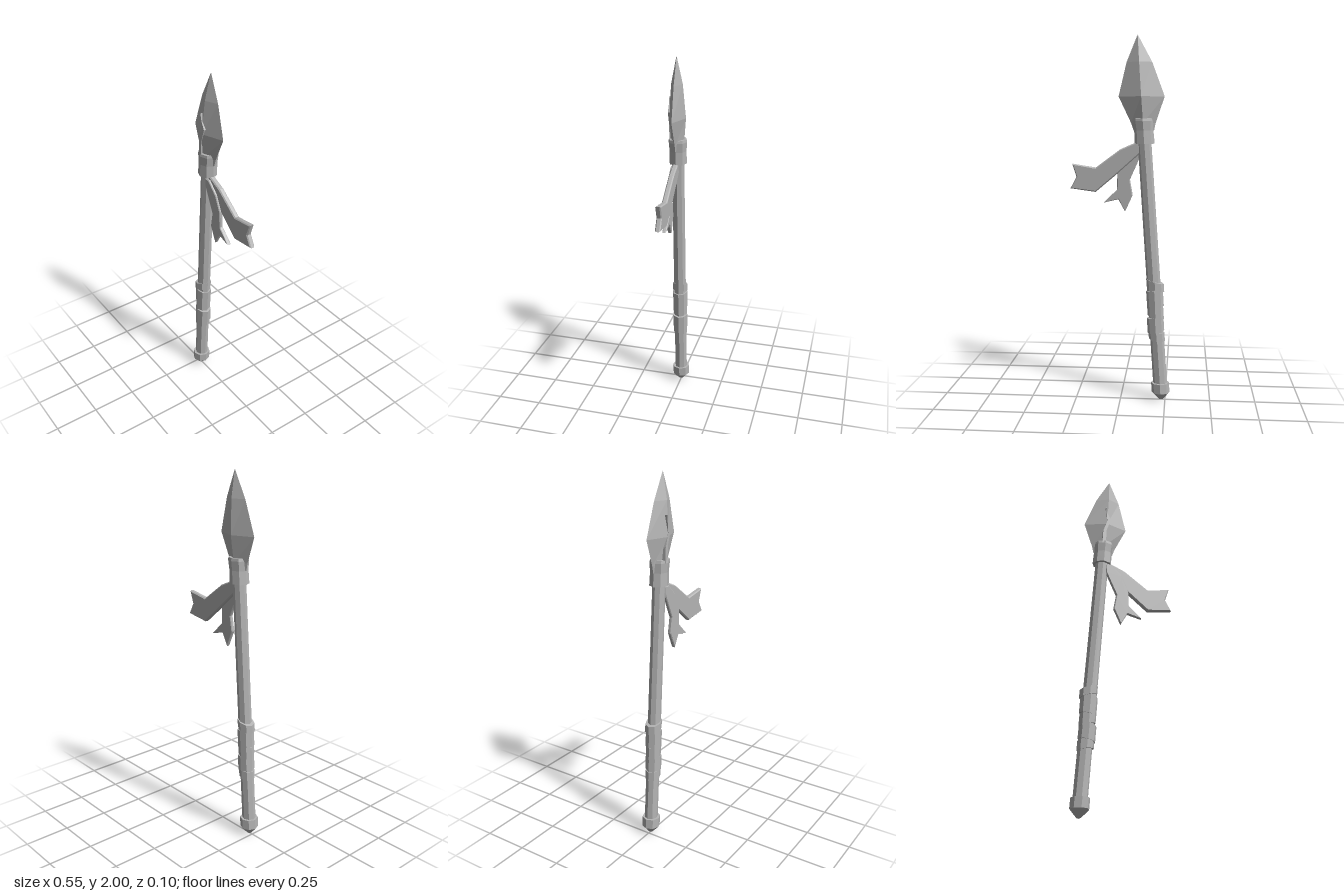
import * as THREE from 'three';

// The weapon leans: every level of the shaft slides sideways with height
const LEAN = 0.0692, BASE = -0.229;

function lean(geo) {
  const p = geo.attributes.position;
  for (let i = 0; i < p.count; i++) p.setX(i, p.getX(i) + BASE + LEAN * p.getY(i));
  geo.computeVertexNormals();
  return geo;
}

// Flat outline extruded between two depths, with an optional small bevel
function plate(points, z0, z1, bevel = 0) {
  const shape = new THREE.Shape(points.map(([x, y]) => new THREE.Vector2(x, y)));
  const geo = new THREE.ExtrudeGeometry(shape, {
    depth: z1 - z0 - 2 * bevel, bevelEnabled: bevel > 0, bevelThickness: bevel,
    bevelSize: bevel, bevelOffset: -bevel, bevelSegments: 1,
  });
  return geo.translate(0, 0, z0 + bevel);
}

// Eight-sided turned part from [radius, height] pairs
function turned(profile, widen = 1) {
  const geo = new THREE.LatheGeometry(profile.map(([r, y]) => new THREE.Vector2(r, y)), 8);
  return lean(geo.scale(widen, 1, 1));
}

// Diamond-section blade: [height, half width, half depth] for each level
function bladeGeometry(levels) {
  const pos = [], idx = [];
  for (const [y, w, d] of levels) pos.push(w, y, 0, 0, y, d, -w, y, 0, 0, y, -d);
  for (let l = 0; l < levels.length - 1; l++) {
    for (let k = 0; k < 4; k++) {
      const a = l * 4 + k, b = l * 4 + (k + 1) % 4;
      idx.push(a, a + 4, b, b, a + 4, b + 4);
    }
  }
  const geo = new THREE.BufferGeometry();
  geo.setAttribute('position', new THREE.Float32BufferAttribute(pos, 3));
  geo.setIndex(idx);
  return lean(geo);
}

export function createModel() {
  const group = new THREE.Group();
  const grey = new THREE.MeshStandardMaterial({ color: 0xb4b4b4, flatShading: true, side: THREE.DoubleSide });
  grey.name = 'plain grey';
  const add = (name, geo) => {
    const mesh = new THREE.Mesh(geo, grey);
    mesh.name = name;
    group.add(mesh);
  };

  // Shaft, foot cap and the collar that holds the blade
  add('shaft', turned([[0.036, 0.05], [0.034, 1.5]], 1.08));
  add('footCap', turned([[0, 0], [0.012, 0.004], [0.05, 0.045], [0.05, 0.1], [0.03, 0.1]]));
  add('collar', turned([[0.03, 1.43], [0.049, 1.43], [0.047, 1.5], [0.051, 1.55], [0.049, 1.565], [0.03, 1.565]], 1.1));

  // Blade and the jagged ridge on its front
  add('blade', bladeGeometry([
    [1.5, 0.055, 0.03], [1.54, 0.066, 0.034], [1.68, 0.123, 0.046], [1.86, 0.068, 0.031], [2, 0.001, 0.001],
  ].map(([y, w, d]) => [y, w, d])));
  add('bladeRidge', plate([
    [-0.12, 1.79], [-0.11, 1.75], [-0.09, 1.71], [-0.115, 1.64], [-0.12, 1.55],
    [-0.14, 1.55], [-0.135, 1.63], [-0.112, 1.7],
  ], 0.02, 0.046));

  // Grip wrapping: slanted bands, [centre height, height, slant, radius, sideways shift]
  const bands = [
    [0.655, 0.045, 0.3, 0.044, -0.008], [0.58, 0.1, -0.2, 0.043, -0.002],
    [0.51, 0.07, 0.25, 0.041, 0], [0.435, 0.085, -0.2, 0.043, 0.004],
    [0.37, 0.05, 0.15, 0.041, 0.002],
  ];
  bands.forEach(([y, h, slant, r, shift], i) => {
    const geo = new THREE.CylinderGeometry(r, r, h, 8).scale(1.08, 1, 1);
    const p = geo.attributes.position;
    for (let k = 0; k < p.count; k++) p.setY(k, p.getY(k) + slant * p.getX(k));
    add('gripBand' + (i + 1), lean(geo.translate(shift, y, 0)));
  });

  // Two notched ribbon tails hanging from the collar
  add('longRibbon', plate([
    [-0.12, 1.44], [-0.08, 1.435], [0, 1.4], [0.135, 1.3], [0.262, 1.32], [0.24, 1.25],
    [0.273, 1.187], [0.135, 1.168], [0.02, 1.265], [-0.12, 1.39],
  ].reverse(), -0.011, 0.018, 0.006));
  add('shortRibbon', plate([
    [-0.115, 1.42], [-0.08, 1.42], [-0.02, 1.36], [0.018, 1.275], [0.02, 1.18], [0.093, 1.108],
    [0.013, 1.127], [-0.024, 1.06], [-0.065, 1.15], [-0.05, 1.235], [-0.11, 1.37],
  ].reverse(), 0.008, 0.029, 0.004));

  return group;
}
